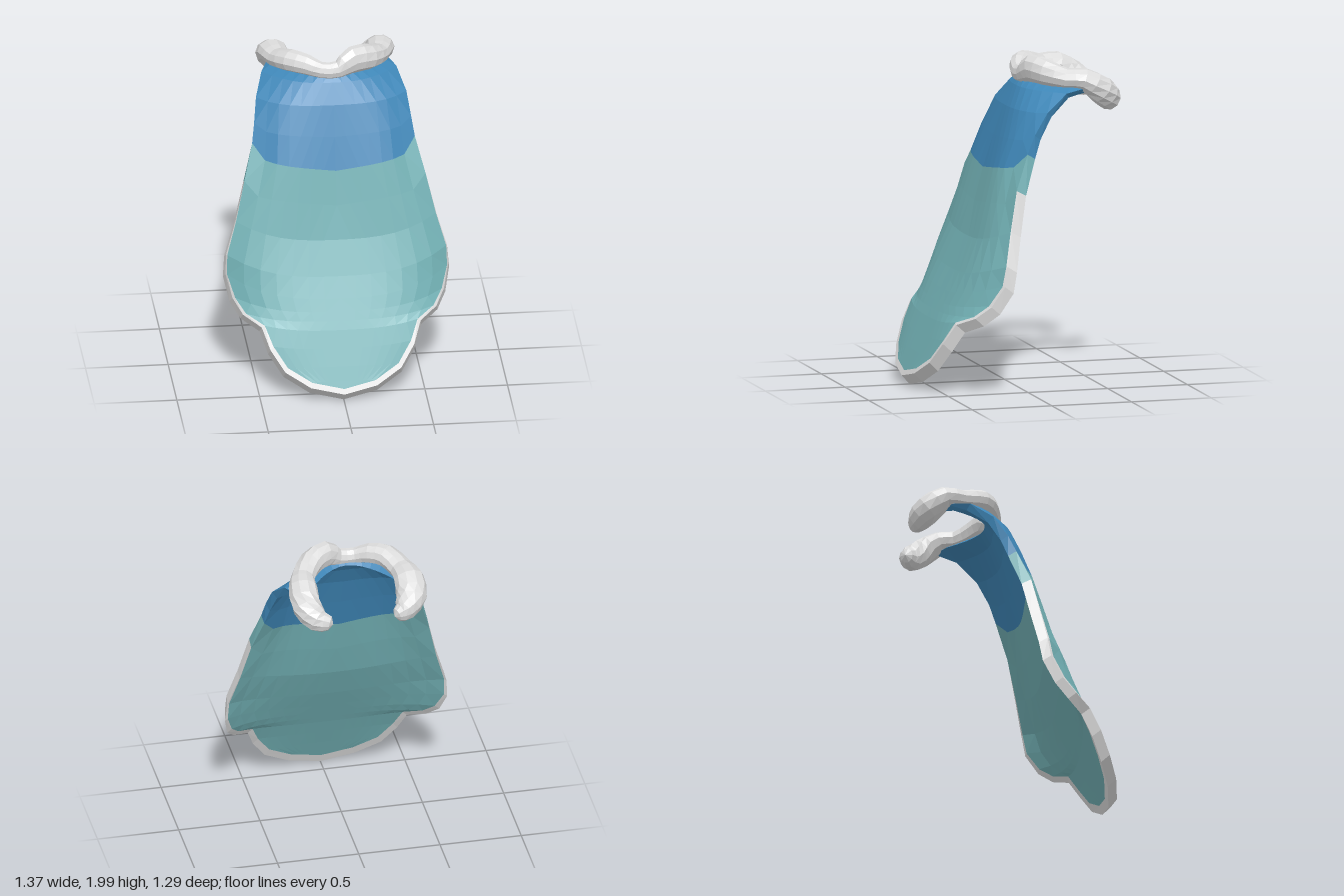
import * as THREE from 'three';

const mat = (name, color) =>
  Object.assign(new THREE.MeshStandardMaterial({ color, side: THREE.DoubleSide }), { name });

// Flat-shaded sheet through a grid of points
function sheet(rows, flip = false) {
  const pos = [];
  const tri = (a, b, c) => {
    if (a.distanceTo(b) < 1e-5 || b.distanceTo(c) < 1e-5 || a.distanceTo(c) < 1e-5) return;
    for (const p of flip ? [a, c, b] : [a, b, c]) pos.push(p.x, p.y, p.z);
  };
  for (let r = 0; r < rows.length - 1; r++) {
    for (let c = 0; c < rows[r].length - 1; c++) {
      const [a, b, d, e] = [rows[r][c], rows[r][c + 1], rows[r + 1][c], rows[r + 1][c + 1]];
      tri(a, d, e);
      tri(a, e, b);
    }
  }
  const g = new THREE.BufferGeometry();
  g.setAttribute('position', new THREE.Float32BufferAttribute(pos, 3));
  g.computeVertexNormals();
  return g;
}

const V = (x, y, z) => new THREE.Vector3(x, y, z);

// Cape rows from neck to hem: centre y, z, then edge x, y, z
const ROWS = [
  [1.86, -0.11, 0.35, 1.815, -0.42],
  [1.80, -0.06, 0.408, 1.795, -0.27],
  [1.68, 0.005, 0.455, 1.69, -0.135],
  [1.50, 0.07, 0.475, 1.56, -0.05],
  [1.305, 0.135, 0.492, 1.45, 0.0],
  [1.10, 0.19, 0.548, 1.24, 0.085],
  [0.90, 0.25, 0.607, 1.00, 0.14],
  [0.70, 0.34, 0.668, 0.80, 0.185],
  [0.58, 0.40, 0.674, 0.68, 0.21],
  [0.51, 0.435, 0.64, 0.555, 0.285],
  [0.46, 0.46, 0.585, 0.48, 0.365],
  [0.41, 0.485, 0.48, 0.43, 0.45],
  [0.31, 0.53, 0.435, 0.31, 0.515],
  [0.21, 0.575, 0.35, 0.185, 0.575],
  [0.13, 0.61, 0.2, 0.098, 0.625],
  [0.055, 0.645, 0, 0.055, 0.645],
];
const COLOR_ROW = 4, TRIM_ROW = 5, LAST = ROWS.length - 1, MID_Y = 0.75;

const ramp = (r, from, to) => THREE.MathUtils.clamp((r - from) / (to - from), 0, 1);
const taper = r => ramp(r, TRIM_ROW, 9);
// Outline point on the left edge, scaled about the middle of the cape
const outline = (r, s) => {
  const [, , x, y, z] = ROWS[r];
  const dy = (y - MID_Y) * (s - 1);
  return V(x * s, y + dy, z - dy * 0.5);
};
const inner = r => outline(r, 1 - 0.018 * taper(r) - 0.026 * ramp(r, 8, 12));
// Front rim of the trim, rolled back along the sides
const rim = r => {
  const p = outline(r, 1);
  p.z -= 0.02 * taper(r) * (1 - ramp(r, 8, 12));
  return p;
};

// Offset from the outer face to the lining
function lining(p, r, u) {
  const top = Math.max(0, 1 - r / 5);
  return p.clone().add(V(-0.04 * top * u, -0.03, -0.058 + top * (0.015 + 0.03 * u)));
}

// Half of the cape, from the centre line to the left edge
function capeHalf() {
  const n = 7, front = [], back = [];
  for (let r = 0; r <= LAST; r++) {
    const e = inner(r);
    const cy = r === LAST ? e.y : ROWS[r][0], cz = r === LAST ? e.z : ROWS[r][1];
    // Rounder around the neck, flatter with curled sides below
    const bend = Math.min(4.5, 1.8 + 0.75 * r) - 1.1 * ramp(r, 4, 8);
    const f = [], b = [];
    for (let i = 0; i <= n; i++) {
      const u = i / n;
      const rise = r > TRIM_ROW ? u ** 2.5 : Math.max(0.45 * u, 1 - 4.2 * (1 - u));
      const p = V(e.x * u, cy + (e.y - cy) * rise, cz + (e.z - cz) * u ** bend);
      f.push(p);
      b.push(lining(p, r, u));
    }
    front.push(f);
    back.push(b);
  }
  return { front, back };
}

// Fur collar path: x, y, z, horizontal radius, vertical radius
const COLLAR = [
  [-0.215, 1.72, -0.60, 0.035, 0.045],
  [-0.265, 1.735, -0.575, 0.067, 0.077],
  [-0.32, 1.79, -0.515, 0.095, 0.085],
  [-0.325, 1.86, -0.42, 0.092, 0.07],
  [-0.30, 1.865, -0.31, 0.075, 0.06],
  [-0.235, 1.895, -0.20, 0.075, 0.066],
  [-0.145, 1.89, -0.14, 0.063, 0.062],
  [-0.06, 1.864, -0.106, 0.047, 0.05],
  [0.04, 1.866, -0.104, 0.047, 0.055],
  [0.13, 1.912, -0.135, 0.062, 0.086],
  [0.23, 1.90, -0.195, 0.074, 0.078],
  [0.30, 1.87, -0.30, 0.072, 0.062],
  [0.322, 1.865, -0.40, 0.086, 0.068],
  [0.322, 1.795, -0.51, 0.09, 0.084],
  [0.27, 1.735, -0.58, 0.072, 0.077],
  [0.20, 1.72, -0.61, 0.04, 0.045],
];

function collarGeometry() {
  const path = new THREE.CatmullRomCurve3(COLLAR.map(c => V(c[0], c[1], c[2])));
  const radii = new THREE.CatmullRomCurve3(COLLAR.map(c => V(c[3], c[4], 0)));
  const steps = 30, sides = 10, rings = [];
  for (let i = 0; i <= steps; i++) {
    const p = path.getPoint(i / steps), rad = radii.getPoint(i / steps);
    const t = path.getTangent(i / steps);
    const side = V(-t.z, 0, t.x).normalize();
    const up = side.clone().cross(t).normalize();
    const ring = [];
    for (let j = 0; j <= sides; j++) {
      const a = ((j % sides) / sides) * Math.PI * 2;
      ring.push(p.clone().addScaledVector(side, rad.x * Math.cos(a)).addScaledVector(up, rad.y * Math.sin(a)));
    }
    rings.push(ring);
  }
  // Close the tips
  const tip = i => Array(sides + 1).fill(path.getPoint(i).addScaledVector(path.getTangent(i), i ? 0.02 : -0.02));
  return sheet([tip(0), ...rings, tip(1)]);
}

export function createModel() {
  const model = new THREE.Group();
  model.name = 'cape';
  const blue = mat('blue cloth', 0x3f87b8);
  const teal = mat('teal cloth', 0x72b0b4);
  const fur = mat('pale fur', 0xdcdcdc);

  const { front, back } = capeHalf();
  const upper = g => g.slice(0, COLOR_ROW + 1), lower = g => g.slice(COLOR_ROW);

  // Cloth edge and scalloped fur trim along the left outline
  const wall = [], trim = [];
  for (let r = 0; r <= LAST; r++) {
    const a = inner(r), d = lining(a, r, 1);
    if (r <= TRIM_ROW) wall.push([a, d]);
    if (r >= TRIM_ROW) {
      const c = lining(outline(r, 1 + 0.02 * taper(r)), r, 1);
      c.y -= 0.011 * taper(r);
      c.z -= 0.01 * taper(r) * (1 - ramp(r, 8, 12));
      trim.push([a, rim(r), c, d]);
    }
  }

  // Both halves: outer cloth, lining, edges and trim
  for (const s of [1, -1]) {
    const half = new THREE.Group();
    half.name = s > 0 ? 'leftHalf' : 'rightHalf';
    const add = (name, rows, material, inside = false) => {
      const mirrored = rows.map(row => row.map(p => V(p.x * s, p.y, p.z)));
      const m = new THREE.Mesh(sheet(mirrored, (s < 0) !== inside), material);
      m.name = name;
      half.add(m);
    };
    add('upperCape', upper(front), blue);
    add('lowerCape', lower(front), teal);
    add('upperLining', upper(back), blue, true);
    add('lowerLining', lower(back), teal, true);
    add('neckEdge', [back[0], front[0]], blue);
    add('upperEdge', upper(wall), blue);
    add('lowerEdge', lower(wall), teal);
    add('trim', trim, fur);
    model.add(half);
  }

  const collar = new THREE.Mesh(collarGeometry(), fur);
  collar.name = 'collar';
  model.add(collar);
  return model;
}
